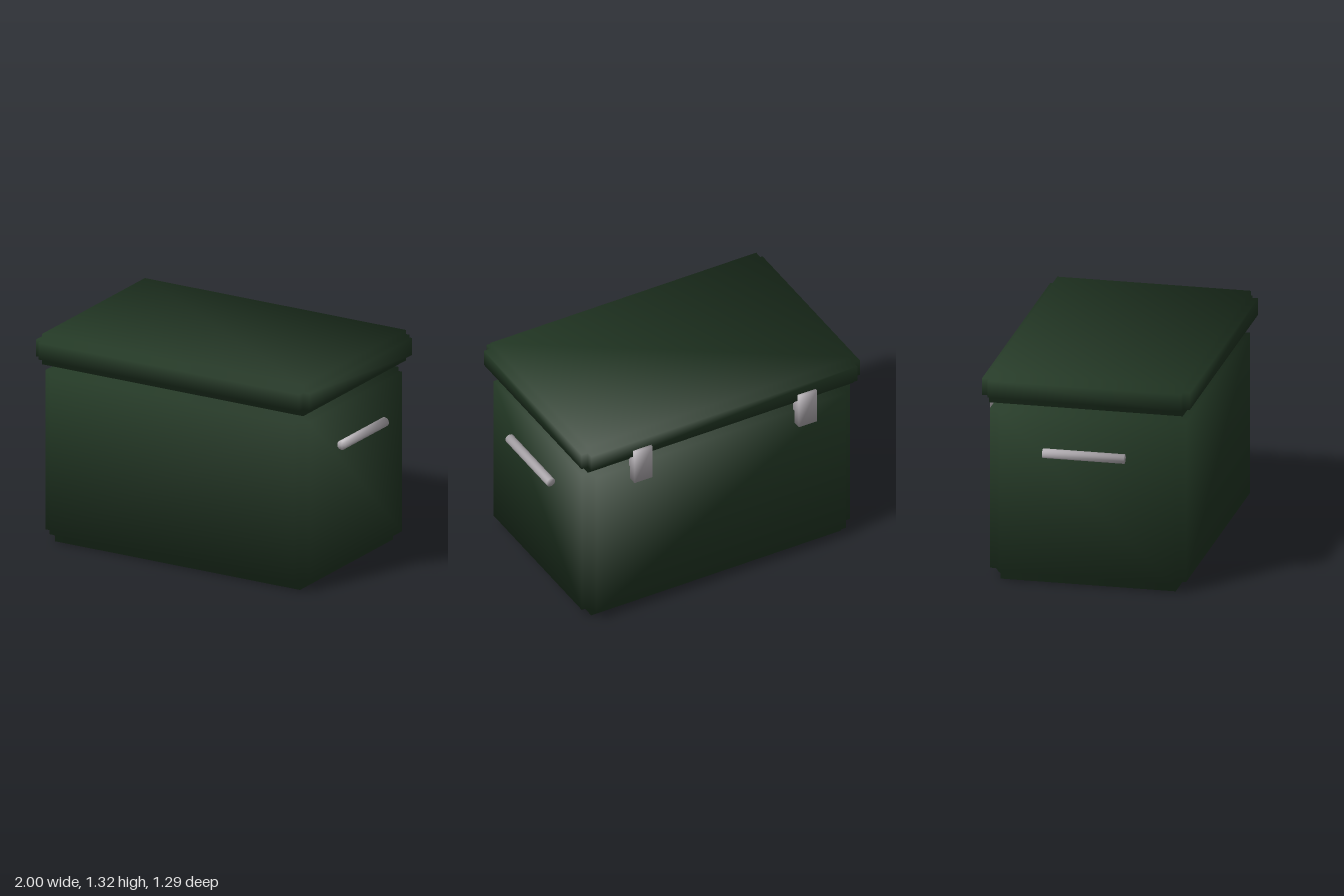
import * as THREE from 'three';

const green = new THREE.MeshStandardMaterial({ color: 0x243a26 });
green.name = 'dark green';
const steel = new THREE.MeshStandardMaterial({ color: 0xb6b1b6 });
steel.name = 'steel grey';

// Box whose edges are cut by a step of depth n; m < n leaves a chamfer in the step's inner corner.
// Normals lean out through the corners, giving one soft shade over the whole box.
function notchedBox(size, n, m) {
  const half = size.map((v) => v / 2);
  const positions = [], normals = [];
  const corner = (axis, cut, signs) => ({
    p: new THREE.Vector3(...half.map((h, i) => signs[i] * (i === axis ? h - cut : h - n))),
    n: new THREE.Vector3(...signs).normalize(),
  });
  const outer = (axis, signs) => corner(axis, 0, signs);
  const inner = (axis, signs) => corner(axis, m, signs);
  // adds a convex polygon, wound to face along dir
  const polygon = (pts, dir) => {
    const e1 = pts[1].p.clone().sub(pts[0].p), e2 = pts[2].p.clone().sub(pts[0].p);
    if (e1.cross(e2).dot(new THREE.Vector3(...dir)) < 0) pts.reverse();
    for (let i = 1; i < pts.length - 1; i++) {
      for (const v of [pts[0], pts[i], pts[i + 1]]) {
        positions.push(...v.p.toArray());
        normals.push(...v.n.toArray());
      }
    }
  };
  const signsOf = (a, s, b, t, c, u) => {
    const r = [0, 0, 0];
    r[a] = s; r[b] = t; r[c] = u;
    return r;
  };

  for (let a = 0; a < 3; a++) {
    const b = (a + 1) % 3, c = (a + 2) % 3;
    for (const s of [-1, 1]) {
      // main face
      const ring = [[-1, -1], [1, -1], [1, 1], [-1, 1]];
      polygon(ring.map(([t, u]) => outer(a, signsOf(a, s, b, t, c, u))), signsOf(a, s, b, 0, c, 0));
      for (const t of [-1, 1]) {
        // step walls round the face
        for (const [d, e] of [[b, c], [c, b]]) {
          const k0 = signsOf(a, s, d, t, e, -1), k1 = signsOf(a, s, d, t, e, 1);
          polygon([outer(a, k0), outer(a, k1), inner(a, k1), inner(a, k0)], signsOf(a, 0, d, t, e, 0));
        }
        // chamfer inside the step
        if (m < n) {
          const k0 = signsOf(a, s, b, t, c, -1), k1 = signsOf(a, s, b, t, c, 1);
          polygon([inner(a, k0), inner(a, k1), inner(b, k1), inner(b, k0)], signsOf(a, s, b, t, c, 0));
        }
      }
    }
  }
  // small triangles at the eight corners
  if (m < n) {
    for (const x of [-1, 1]) for (const y of [-1, 1]) for (const z of [-1, 1]) {
      polygon([0, 1, 2].map((a) => inner(a, [x, y, z])), [x, y, z]);
    }
  }
  const geometry = new THREE.BufferGeometry();
  geometry.setAttribute('position', new THREE.Float32BufferAttribute(positions, 3));
  geometry.setAttribute('normal', new THREE.Float32BufferAttribute(normals, 3));
  return geometry;
}

// Rewrites normals by a rule on the vertex position
function soften(geometry, rule) {
  const pos = geometry.attributes.position, nor = geometry.attributes.normal;
  const v = new THREE.Vector3();
  for (let i = 0; i < pos.count; i++) {
    rule(v.fromBufferAttribute(pos, i));
    v.normalize();
    nor.setXYZ(i, v.x, v.y, v.z);
  }
  return geometry;
}

export function createModel() {
  const model = new THREE.Group();
  const add = (name, geometry, material, x, y, z) => {
    const mesh = new THREE.Mesh(geometry, material);
    mesh.name = name;
    mesh.position.set(x, y, z);
    model.add(mesh);
    return mesh;
  };

  // chest and its lid
  add('body', notchedBox([1.838, 1.136, 1.2], 0.064, 0.033), green, 0, 0.568, 0.01);
  add('lid', notchedBox([1.908, 0.192, 1.272], 0.043, 0.043), green, 0, 1.221, 0.009);

  // side handles and back hinges, mirrored
  const radius = 0.029;
  const bar = soften(new THREE.CylinderGeometry(radius, radius, 0.5, 32), (v) =>
    v.set(v.x / radius, Math.sign(v.y), v.z / radius));
  const plate = soften(new THREE.BoxGeometry(0.124, 0.23, 0.07), (v) =>
    v.set(Math.sign(v.x), Math.sign(v.y), Math.sign(v.z)));
  for (const side of [1, -1]) {
    const label = side > 0 ? 'left' : 'right';
    add(label + 'Handle', bar, steel, side * 0.971, 0.85, 0.01).rotation.x = Math.PI / 2;
    add(label + 'Hinge', plate, steel, side * 0.563, 1.097, -0.61);
  }
  return model;
}
